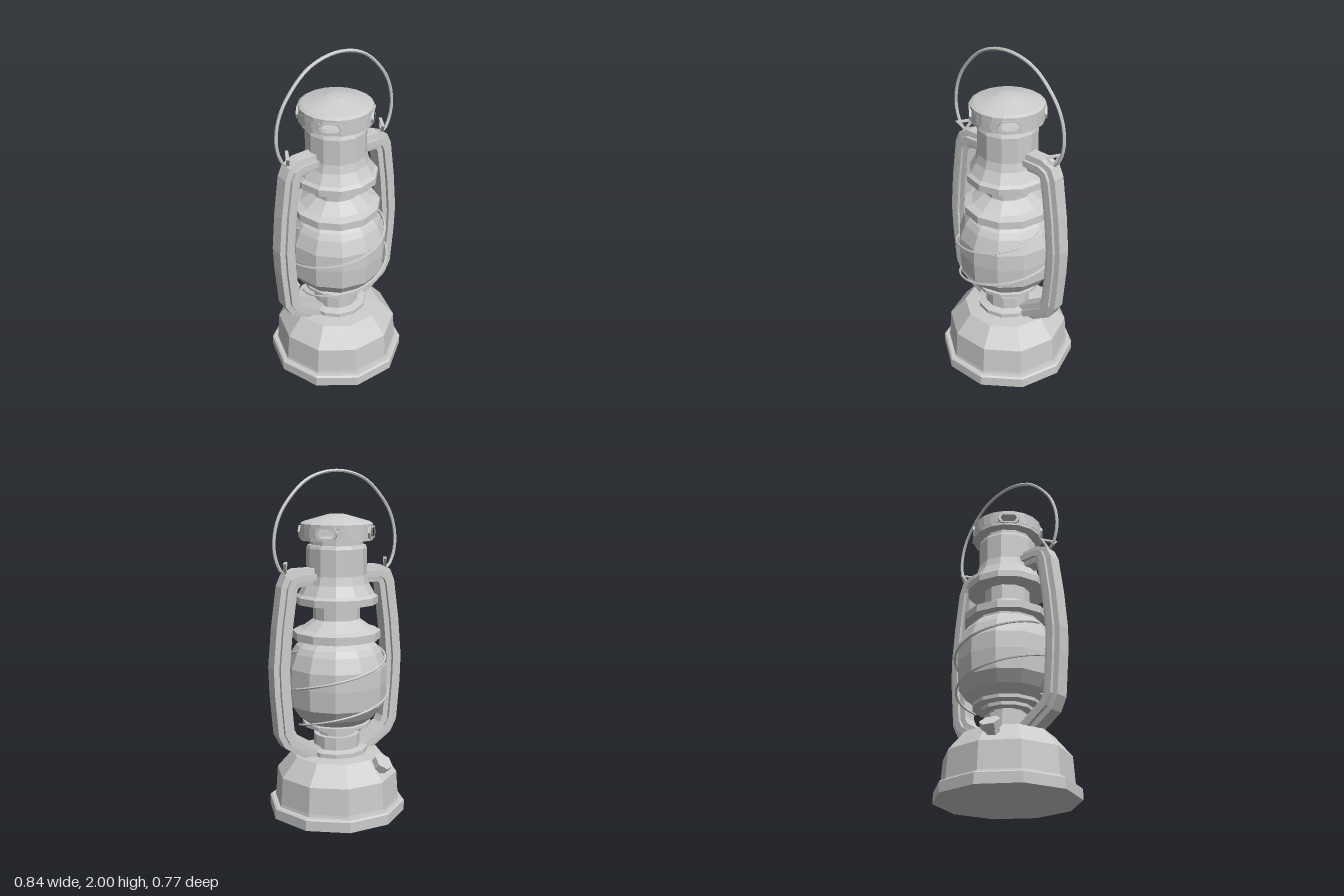
import * as THREE from 'three';

const mat = new THREE.MeshStandardMaterial({ color: 0xcccccc, flatShading: true });
const open = new THREE.MeshStandardMaterial({ color: 0xcccccc, flatShading: true, side: THREE.DoubleSide });
const rad = THREE.MathUtils.degToRad;

function add(parent, name, geometry, material = mat) {
  const mesh = new THREE.Mesh(geometry, material);
  mesh.name = name;
  parent.add(mesh);
  return mesh;
}

// Turned part from [radius, height] pairs, listed bottom to top
function turned(parent, name, profile, sides, start = 0, length = Math.PI * 2) {
  const pts = profile.map(([r, y]) => new THREE.Vector2(r, y));
  return add(parent, name, new THREE.LatheGeometry(pts, sides, start, length), open);
}

// Sweep a section (outward, z) along a path in the xy plane with mitred corners
function sweep(path, section) {
  const pos = [], idx = [], n = section.length;
  const dir = (a, b) => new THREE.Vector2(b[0] - a[0], b[1] - a[1]).normalize();
  path.forEach((p, i) => {
    const d0 = dir(path[Math.max(i - 1, 0)], path[Math.max(i, 1)]);
    const last = path.length - 1;
    const d1 = dir(path[Math.min(i, last - 1)], path[Math.min(i + 1, last)]);
    const t = d0.clone().add(d1).normalize();
    const stretch = 1 / t.dot(d0);
    for (const [u, z] of section) pos.push(p[0] + t.y * u * stretch, p[1] - t.x * u * stretch, z);
    if (i === 0) return;
    for (let j = 0; j < n; j++) {
      const a = (i - 1) * n + j, c = (i - 1) * n + (j + 1) % n;
      idx.push(a, a + n, c, c, a + n, c + n);
    }
  });
  const g = new THREE.BufferGeometry();
  g.setAttribute('position', new THREE.Float32BufferAttribute(pos, 3));
  g.setIndex(idx);
  g.computeVertexNormals();
  return g;
}

// Flat plate with a smaller copy of its outline cut out
function frame(outline, scale, depth) {
  const v = outline.map(([x, y]) => new THREE.Vector2(x, y));
  const shape = new THREE.Shape(v);
  shape.holes.push(new THREE.Path(v.map((p) => p.clone().multiplyScalar(scale))));
  return new THREE.ExtrudeGeometry(shape, { depth, bevelEnabled: false }).translate(0, 0, -depth / 2);
}

export function createModel() {
  const model = new THREE.Group();
  model.name = 'lantern';

  // Fuel tank: ten sides, with corners on the x axis
  turned(model, 'fuelTank', [[0, 0], [0.405, 0], [0.405, 0.06], [0.395, 0.068], [0.372, 0.068],
    [0.368, 0.085], [0.357, 0.24], [0.262, 0.352], [0.18, 0.36], [0, 0.36]], 10, Math.PI / 2);

  // Burner with its collar and the plate under the globe
  turned(model, 'burner', [[0.18, 0.355], [0.18, 0.385], [0.135, 0.395], [0.135, 0.47], [0.105, 0.47],
    [0.105, 0.495], [0.15, 0.5], [0.15, 0.52], [0.2, 0.525], [0.2, 0.545], [0.17, 0.55], [0, 0.55]], 12);

  turned(model, 'globe', [[0.17, 0.54], [0.24, 0.595], [0.285, 0.66], [0.293, 0.78], [0.29, 0.88],
    [0.258, 0.965], [0.235, 1.0], [0.19, 1.035]], 12);

  // Stacked hoods and chimney
  turned(model, 'lowerHood', [[0, 1.02], [0.2, 1.02], [0.2, 1.04], [0.255, 1.04], [0.255, 1.085],
    [0.21, 1.1], [0.14, 1.15], [0.135, 1.155], [0.135, 1.25]], 12);
  turned(model, 'chimney', [[0.135, 1.245], [0.238, 1.245], [0.238, 1.285], [0.218, 1.3], [0.185, 1.36],
    [0.173, 1.41], [0.173, 1.56], [0.165, 1.578], [0.15, 1.58], [0.15, 1.607], [0, 1.607]], 12);

  // Vented cap: solid bands above and below four diagonal windows
  const cap = new THREE.Group();
  cap.name = 'ventedCap';
  model.add(cap);
  turned(cap, 'capLowerBand', [[0.14, 1.605], [0.207, 1.605], [0.207, 1.625]], 16, rad(17));
  turned(cap, 'capRoof', [[0.207, 1.675], [0.207, 1.698], [0.19, 1.708], [0.05, 1.748], [0, 1.752]], 20);
  const vent = [[-0.065, 0], [-0.045, 0.034], [0.045, 0.034], [0.065, 0], [0.045, -0.034], [-0.045, -0.034]];
  for (let i = 0; i < 4; i++) {
    turned(cap, 'capWall', [[0.207, 1.625], [0.207, 1.675]], 4, rad(62 + i * 90), rad(56));
    const rim = add(cap, 'ventRim', frame(vent, 0.74, 0.022));
    const a = rad(45 + i * 90);
    rim.position.set(0.2 * Math.sin(a), 1.65, 0.2 * Math.cos(a));
    rim.rotation.y = a;
  }

  // Ribbed side tubes and bail ears, the second pair turned half round
  const quarter = [[0.05, 0.038], [0.018, 0.042], [0.018, 0.06]];
  const section = [
    ...quarter,
    ...quarter.map(([u, z]) => [-u, z]).reverse(),
    ...quarter.map(([u, z]) => [-u, -z]),
    ...quarter.map(([u, z]) => [u, -z]).reverse(),
  ];
  const tubePath = [[0.1, 0.33], [0.19, 0.385], [0.315, 0.465], [0.345, 0.52], [0.365, 0.75], [0.37, 0.9],
    [0.35, 1.12], [0.318, 1.345], [0.3, 1.385], [0.26, 1.403], [0.12, 1.405]];
  const tubeGeo = sweep(tubePath, section);
  const earGeo = frame([[0, -0.045], [0.055, 0.025], [-0.055, 0.025]], 0.6, 0.018);
  for (const [side, turn] of [['left', 0], ['right', Math.PI]]) {
    const half = new THREE.Group();
    half.name = side + 'Frame';
    half.rotation.y = turn;
    model.add(half);
    add(half, 'sideTube', tubeGeo);
    const ear = add(half, 'bailEar', earGeo);
    ear.position.set(0.325, 1.462, 0);
    ear.rotation.set(0, rad(60), 0);
    const foot = add(half, 'earFoot', new THREE.BoxGeometry(0.05, 0.015, 0.04));
    foot.position.set(0.315, 1.425, 0);
    foot.rotation.z = rad(-30);
  }

  // Carrying bail
  const rise = [[0.305, 1.432], [0.34, 1.432], [0.375, 1.49], [0.392, 1.58], [0.375, 1.7], [0.32, 1.81],
    [0.18, 1.945]];
  const bailPts = [...rise, [0, 1.99], ...rise.map(([x, y]) => [-x, y]).reverse()]
    .map(([x, y]) => new THREE.Vector3(x, y, 0));
  add(model, 'bail', new THREE.TubeGeometry(new THREE.CatmullRomCurve3(bailPts), 56, 0.0095, 6));

  // Two guard wires spiralling down round the globe
  for (let k = 0; k < 2; k++) {
    const pts = [];
    for (let i = 0; i <= 24; i++) {
      const t = i / 24, a = Math.PI / 2 + k * Math.PI - t * Math.PI * 2;
      const r = 0.3 - 0.055 * Math.pow(Math.abs(2 * t - 1), 5);
      pts.push(new THREE.Vector3(r * Math.sin(a), 0.98 - 0.43 * t, r * Math.cos(a)));
    }
    add(model, 'guardWire', new THREE.TubeGeometry(new THREE.CatmullRomCurve3(pts), 72, 0.007, 5));
  }

  // Hexagonal filler cap on the back shoulder
  const filler = new THREE.Group();
  filler.name = 'filler';
  filler.position.set(-0.143, 0.335, -0.285);
  filler.quaternion.setFromUnitVectors(new THREE.Vector3(0, 1, 0),
    new THREE.Vector3(-0.25, 0.75, -0.6).normalize());
  model.add(filler);
  add(filler, 'fillerCap', new THREE.CylinderGeometry(0.058, 0.058, 0.04, 6));
  add(filler, 'fillerNeck', new THREE.CylinderGeometry(0.042, 0.042, 0.08, 6)).position.y = -0.05;

  return model;
}
